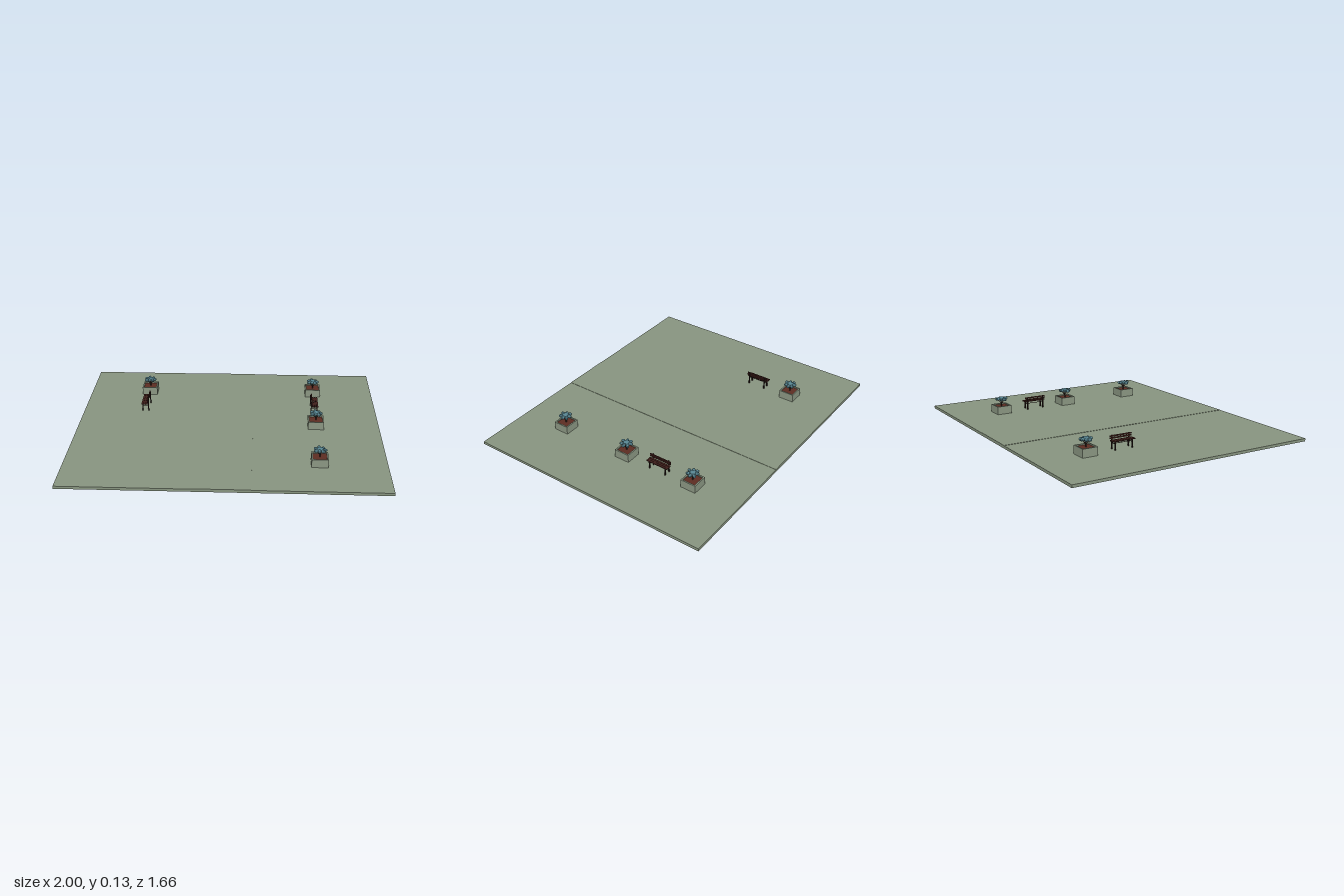
import * as THREE from 'three';

const mat = (name, color, opts = {}) => {
  const m = new THREE.MeshStandardMaterial({ color, ...opts });
  m.name = name;
  return m;
};

export function createModel() {
  const root = new THREE.Group();
  root.name = 'plaza';
  const paving = mat('paving green', 0x87947f);
  const stone = mat('planter stone', 0x8a9682);
  const soil = mat('soil brown', 0x5c2c22);
  const wood = mat('bench wood', 0x41201b);
  const iron = mat('bench frame', 0x241512);
  const bark = mat('bark', 0x3a2a22, { flatShading: true });
  const leaf = mat('leaf teal', 0x55828e, { flatShading: true });

  const add = (parent, name, geo, material, x = 0, y = 0, z = 0) => {
    const m = new THREE.Mesh(geo, material);
    m.name = name;
    m.position.set(x, y, z);
    parent.add(m);
    return m;
  };
  const box = (parent, name, w, h, d, material, x, y, z) =>
    add(parent, name, new THREE.BoxGeometry(w, h, d), material, x, y, z);

  // Ground: two side slabs and a slightly raised centre strip
  for (const s of [-1, 1]) box(root, 'sideSlab', 0.835, 0.018, 1.66, paving, s * 0.5825, 0.009, 0);
  box(root, 'centreSlab', 0.33, 0.02, 1.66, paving, 0, 0.01, 0);
  const ground = 0.018;

  // Hollow square tub, extruded upwards
  const square = (r, Type) => new Type([[-r, -r], [r, -r], [r, r], [-r, r]].map(p => new THREE.Vector2(...p)));
  const tubShape = square(0.052, THREE.Shape);
  tubShape.holes.push(square(0.043, THREE.Path));
  const tubGeo = new THREE.ExtrudeGeometry(tubShape, { depth: 0.054, bevelEnabled: false });
  tubGeo.rotateX(-Math.PI / 2);

  // Planter with soil and a small flat-topped shrub
  function planter(x, z) {
    const g = new THREE.Group();
    g.name = 'planter';
    g.position.set(x, ground, z);
    add(g, 'tub', tubGeo, stone);
    box(g, 'soil', 0.088, 0.047, 0.088, soil, 0, 0.0235, 0);
    add(g, 'trunk', new THREE.CylinderGeometry(0.005, 0.004, 0.03, 6), bark, 0, 0.06, 0);

    const up = new THREE.Vector3(0, 1, 0);
    const blob = new THREE.IcosahedronGeometry(1, 1);
    for (let i = 0; i < 7; i++) {
      const a = i / 7 * Math.PI * 2;
      // Branch leaning out from the trunk
      const dir = new THREE.Vector3(Math.cos(a) * 0.021, 0.027, Math.sin(a) * 0.021);
      const branch = add(g, 'branch', new THREE.CylinderGeometry(0.0015, 0.002, dir.length(), 5), bark,
        dir.x / 2, 0.06 + dir.y / 2, dir.z / 2);
      branch.quaternion.setFromUnitVectors(up, dir.clone().normalize());
      // Leaf clump at its end
      const clump = add(g, 'leafClump', blob, leaf, Math.cos(a) * 0.027, 0.094 + (i % 3) * 0.002, Math.sin(a) * 0.027);
      clump.scale.set(0.0165, 0.0115, 0.0105);
      clump.rotation.y = -a;
    }
    add(g, 'leafCrown', blob, leaf, 0, 0.099, 0).scale.set(0.022, 0.013, 0.022);
    root.add(g);
  }
  for (const [x, z] of [[0.58, -0.5], [0.58, 0], [0.58, 0.5], [-0.58, -0.5]]) planter(x, z);

  // Bench facing outwards (seat towards +x, back at -x)
  function bench(side) {
    const g = new THREE.Group();
    g.name = 'bench';
    g.position.set(side * 0.58, ground, -0.25);
    if (side < 0) g.rotation.y = Math.PI;
    for (const x of [-0.009, 0.005, 0.019]) box(g, 'seatSlat', 0.0125, 0.006, 0.154, wood, x, 0.055, 0);
    for (const y of [0.068, 0.081]) box(g, 'backSlat', 0.005, 0.009, 0.154, wood, -0.0165, y, 0);
    for (const z of [-0.059, 0.059]) {
      box(g, 'frontLeg', 0.006, 0.052, 0.007, iron, 0.018, 0.026, z);
      box(g, 'backLeg', 0.006, 0.086, 0.007, iron, -0.0215, 0.043, z);
      box(g, 'seatBearer', 0.04, 0.005, 0.007, iron, -0.001, 0.0495, z);
    }
    box(g, 'stretcher', 0.003, 0.003, 0.118, iron, -0.001, 0.038, 0);
    for (const z of [-0.059, 0.059]) box(g, 'crossBar', 0.038, 0.003, 0.003, iron, -0.001, 0.038, z);
    root.add(g);
  }
  bench(1);
  bench(-1);

  return root;
}
